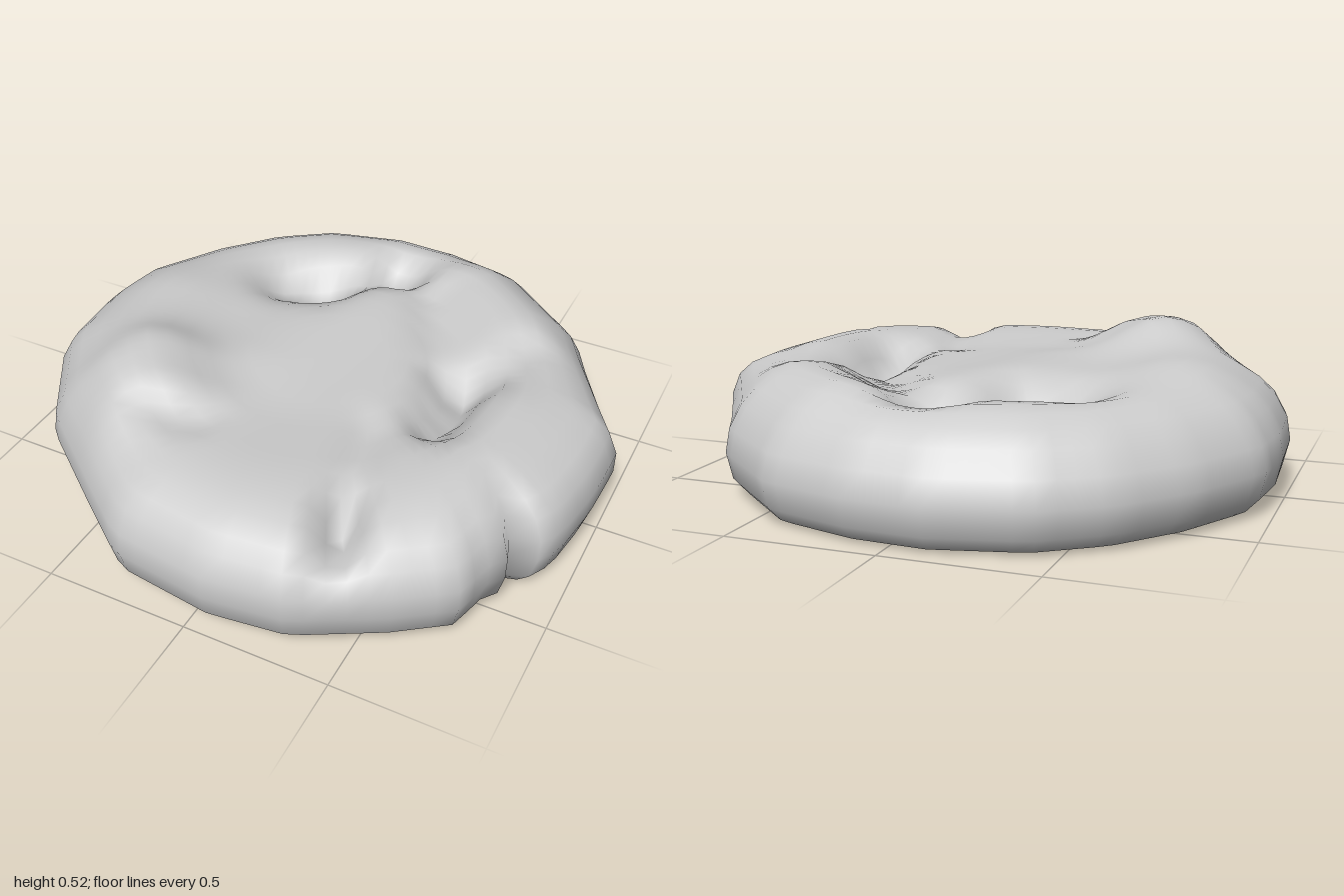
import * as THREE from 'three';

// Rim outline in plan (x, z), going round from the left side towards the front
const OUTLINE = [
  [1, -0.13], [0.99, 0.1], [0.96, 0.3], [0.91, 0.39], [0.8, 0.41], [0.86, 0.48], [0.8, 0.56],
  [0.79, 0.67], [0.61, 0.8], [0.34, 0.95], [0.07, 0.985], [-0.28, 0.94], [-0.48, 0.79], [-0.79, 0.55],
  [-0.98, 0.24], [-1, -0.07], [-0.98, -0.27], [-0.83, -0.55], [-0.65, -0.77], [-0.44, -0.92],
  [-0.13, -1], [0.13, -0.985], [0.43, -0.9], [0.72, -0.64], [0.78, -0.52], [0.93, -0.25],
];

// Section from the middle of the base, round the side, to the middle of the top:
// fraction of the radius, height, share of the top relief
const SECTION = [
  [0.18, 0.02, 0], [0.34, 0.02, 0], [0.5, 0.016, 0], [0.72, 0.012, 0], [0.93, 0.022, 0],
  [0.975, 0.07, 0], [1, 0.16, 0], [0.995, 0.24, 0.1], [0.96, 0.315, 0.3], [0.91, 0.36, 0.6],
  [0.84, 0.393, 0.85], [0.77, 0.41, 1], [0.7, 0.415, 1], [0.63, 0.415, 1], [0.56, 0.41, 1], [0.49, 0.405, 1],
  [0.42, 0.4, 1], [0.35, 0.395, 1], [0.28, 0.395, 1], [0.21, 0.395, 1], [0.14, 0.395, 1], [0.07, 0.395, 1],
];

// Folds and swellings of the top: start x, z, end x, z, width, height
const RELIEF = [
  [-0.36, -0.38, -0.24, -0.42, 0.13, -0.11],
  [-0.24, -0.42, -0.02, -0.6, 0.09, -0.05],
  [-0.03, -0.62, 0.02, -0.62, 0.09, -0.09],
  [0.18, -0.5, 0.43, -0.12, 0.09, -0.05],
  [0.44, -0.1, 0.46, 0.15, 0.09, -0.11],
  [0.48, 0.04, 0.6, -0.32, 0.07, -0.04],
  [0.38, 0.66, 0.47, 0.9, 0.06, -0.14],
  [0.3, 0.3, 0.36, 0.6, 0.08, -0.03],
  [-0.22, 0.54, -0.36, 0.57, 0.07, -0.04],
  [-0.45, 0.34, -0.38, 0.45, 0.17, 0.09],
  [-0.58, 0.5, -0.5, 0.64, 0.13, 0.05],
  [-0.65, -0.05, -0.58, 0.25, 0.2, 0.045],
  [0.64, 0.02, 0.68, 0.45, 0.14, 0.02],
  [0.3, -0.66, 0.58, -0.42, 0.15, 0.03],
  [-0.2, 0.1, -0.08, -0.3, 0.2, 0.03],
];

function relief(x, z) {
  let sum = 0;
  for (const [ax, az, bx, bz, width, height] of RELIEF) {
    const dx = bx - ax, dz = bz - az;
    const t = THREE.MathUtils.clamp(((x - ax) * dx + (z - az) * dz) / (dx * dx + dz * dz), 0, 1);
    const d = Math.hypot(x - ax - t * dx, z - az - t * dz) / width;
    sum += height * Math.exp(-d * d);
  }
  return sum;
}

// Distance from the centre to the outline along a direction
function rimRadius(angle) {
  const c = Math.cos(angle), s = Math.sin(angle);
  for (let i = 0; i < OUTLINE.length; i++) {
    const [ax, az] = OUTLINE[i], [bx, bz] = OUTLINE[(i + 1) % OUTLINE.length];
    const sideA = c * az - s * ax, sideB = c * bz - s * bx;
    if (sideA <= 0 && sideB > 0) {
      const t = sideA / (sideA - sideB);
      return Math.hypot(ax + (bx - ax) * t, az + (bz - az) * t);
    }
  }
  return 1;
}

// The back and right side slope inwards more than the front and left side
function lean(angle, y) {
  const c = Math.cos(angle), s = Math.sin(angle);
  const amount = 0.06 * Math.max(0, -s) + 0.02 * Math.max(0, -c) - 0.02 * Math.max(0, c);
  return 1 - amount * THREE.MathUtils.smoothstep(y, 0.1, 0.36);
}

function bodyGeometry(segments = 96) {
  const positions = [], index = [];
  const rims = Array.from({ length: segments }, (_, i) => rimRadius((i / segments) * Math.PI * 2));
  // Rings from base to top; the outline's kinks soften towards the middle
  for (const [s, y, share] of SECTION) {
    const keep = THREE.MathUtils.smoothstep(s, 0.6, 0.95);
    for (let i = 0; i < segments; i++) {
      const a = (i / segments) * Math.PI * 2;
      const r = s * THREE.MathUtils.lerp(0.97, rims[i], keep) * THREE.MathUtils.lerp(1, lean(a, y), keep);
      const x = r * Math.cos(a), z = r * Math.sin(a);
      // Small hollow under the base
      const hollow = y < 0.03 ? 0.045 * Math.exp(-((x + 0.27) ** 2 + z * z) / 0.02) : 0;
      positions.push(x, y + share * relief(x, z) + hollow, z);
    }
  }
  const bottom = positions.length / 3, top = bottom + 1;
  positions.push(0, 0.02, 0, 0, 0.395 + relief(0, 0), 0);

  const last = (SECTION.length - 1) * segments;
  for (let i = 0; i < segments; i++) {
    const n = (i + 1) % segments;
    index.push(bottom, i, n, top, last + n, last + i);
    for (let o = 0; o < last; o += segments) {
      const a = o + i, b = o + n, c = a + segments, d = b + segments;
      index.push(a, c, b, b, c, d);
    }
  }
  const geometry = new THREE.BufferGeometry();
  geometry.setAttribute('position', new THREE.Float32BufferAttribute(positions, 3));
  geometry.setIndex(index);
  geometry.computeBoundingBox();
  const box = geometry.boundingBox;
  geometry.translate(-(box.min.x + box.max.x) / 2, -box.min.y, -(box.min.z + box.max.z) / 2);
  geometry.computeVertexNormals();
  return geometry;
}

export function createModel() {
  const group = new THREE.Group();
  group.name = 'lumpyRoundBun';
  const body = new THREE.Mesh(bodyGeometry(), new THREE.MeshStandardMaterial({ color: 0xcccccc }));
  body.name = 'bunBody';
  group.add(body);
  return group;
}
